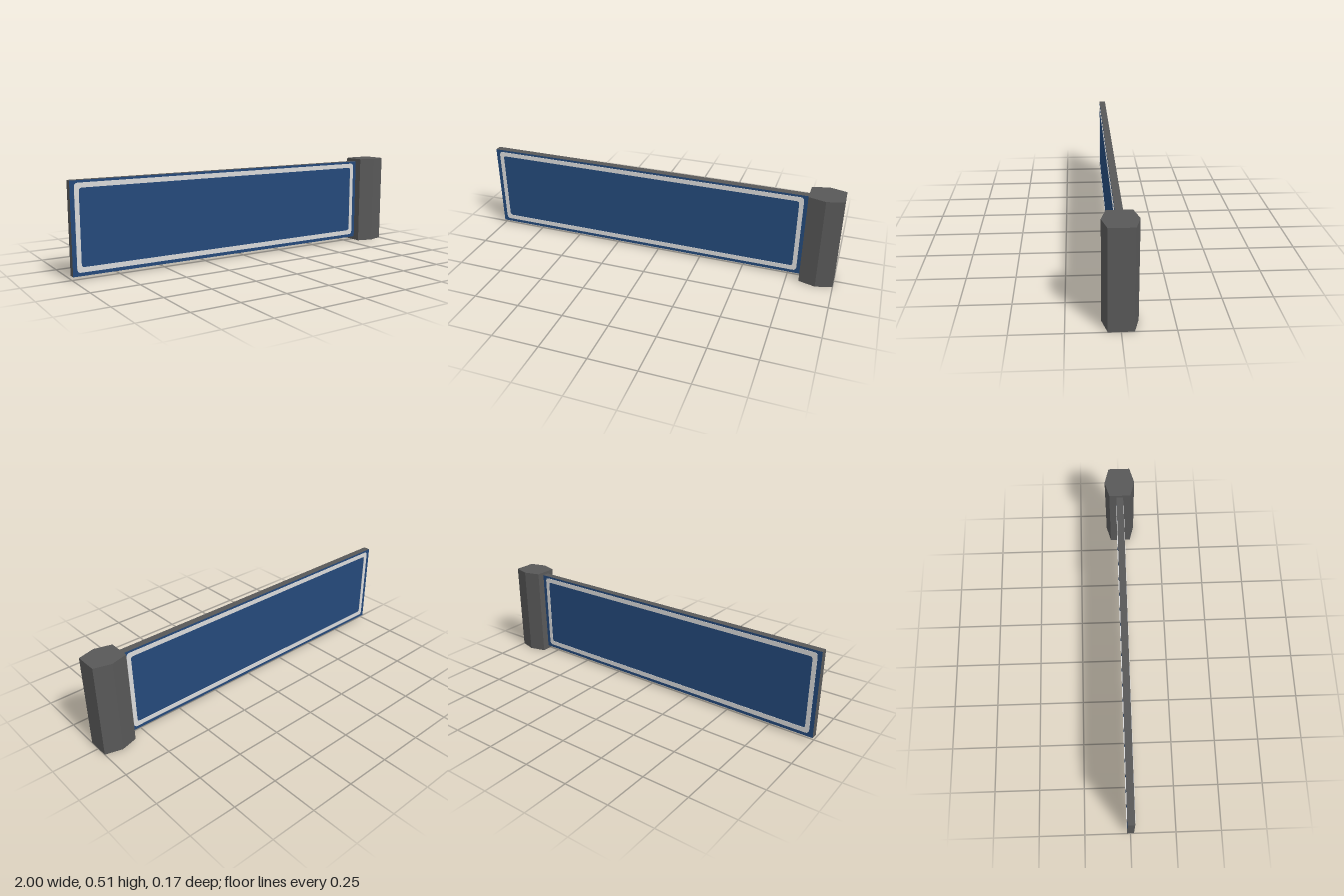
import * as THREE from 'three';

const paint = (name, color) => Object.assign(new THREE.MeshStandardMaterial({ color }), { name });

// Rounded rectangle outline, drawn into a Shape or Path
function roundedRect(path, x0, y0, x1, y1, r) {
  path.moveTo(x0 + r, y0);
  path.lineTo(x1 - r, y0);
  path.quadraticCurveTo(x1, y0, x1, y0 + r);
  path.lineTo(x1, y1 - r);
  path.quadraticCurveTo(x1, y1, x1 - r, y1);
  path.lineTo(x0 + r, y1);
  path.quadraticCurveTo(x0, y1, x0, y1 - r);
  path.lineTo(x0, y0 + r);
  path.quadraticCurveTo(x0, y0, x0 + r, y0);
  return path;
}

export function createModel() {
  const group = new THREE.Group();
  const metal = paint('darkGreyMetal', 0x585858);
  const blue = paint('signBlue', 0x24497a);
  const white = paint('borderWhite', 0xd9d9d9);

  const add = (name, geometry, material) => {
    const mesh = new THREE.Mesh(geometry, material);
    mesh.name = name;
    group.add(mesh);
    return mesh;
  };

  // Six-sided post, extruded upwards
  const section = [[1, 0.06], [0.91, 0.085], [0.82, 0.06], [0.82, -0.06], [0.91, -0.085], [1, -0.06]];
  const postShape = new THREE.Shape(section.map(([x, z]) => new THREE.Vector2(x, -z)));
  const postGeometry = new THREE.ExtrudeGeometry(postShape, { depth: 0.51, bevelEnabled: false });
  postGeometry.rotateX(-Math.PI / 2);
  add('post', postGeometry, metal);

  // Sign panel: metal edges, blue front and back
  const panel = add('signPanel', new THREE.BoxGeometry(1.82, 0.474, 0.038),
    [metal, metal, metal, metal, blue, blue]);
  panel.position.set(-0.09, 0.257, 0);

  // Thin white border on both faces
  const borderShape = roundedRect(new THREE.Shape(), -0.978, 0.038, 0.797, 0.482, 0.02);
  borderShape.holes.push(roundedRect(new THREE.Path(), -0.955, 0.064, 0.774, 0.457, 0.015));
  const borderGeometry = new THREE.ExtrudeGeometry(borderShape,
    { depth: 0.003, bevelEnabled: false, curveSegments: 4 });
  add('frontBorder', borderGeometry, white).position.z = 0.018;
  add('backBorder', borderGeometry, white).position.z = -0.021;

  return group;
}
